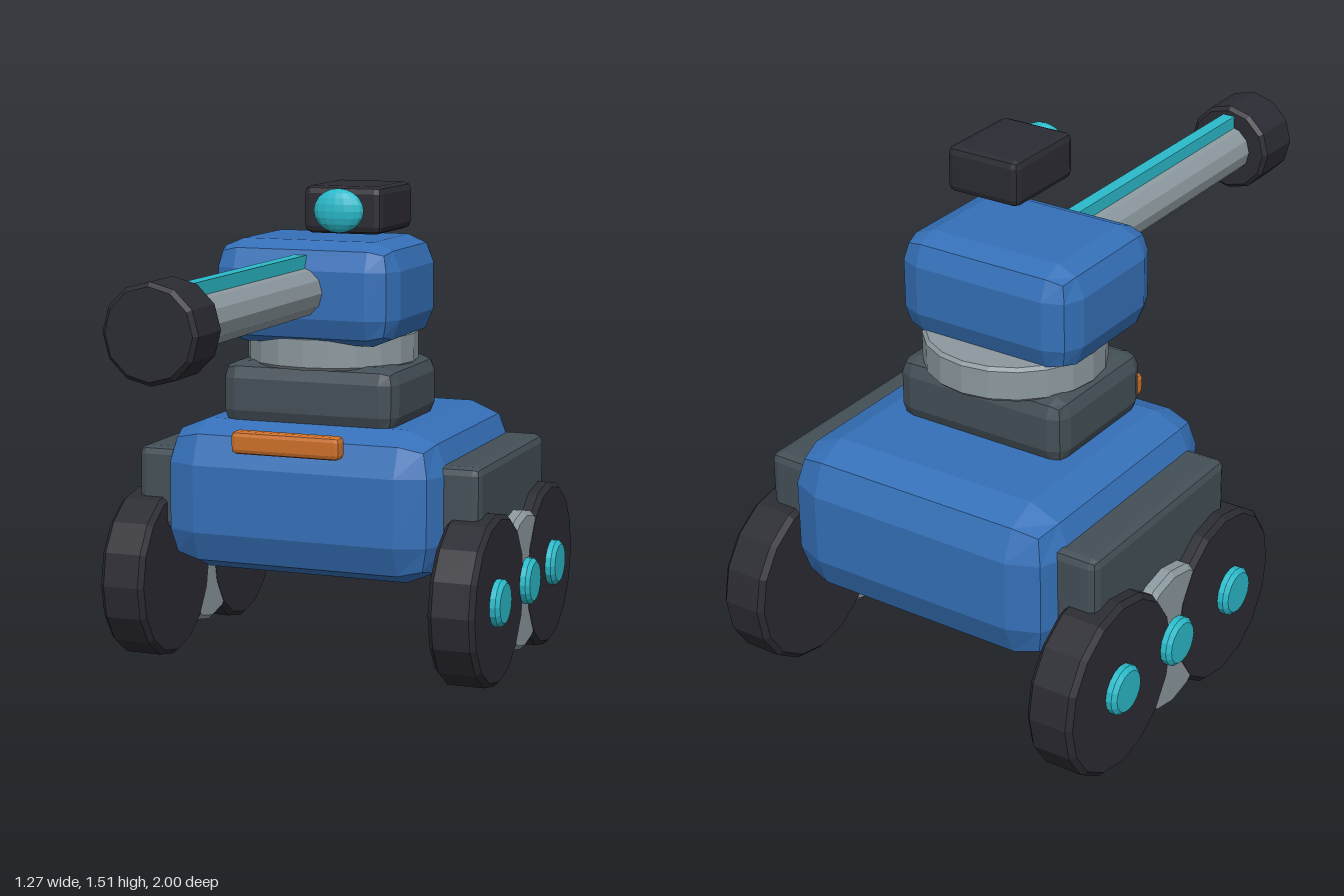
import * as THREE from 'three';
import { RoundedBoxGeometry } from 'three/addons/geometries/RoundedBoxGeometry.js';

function paint(name, color) {
  const m = new THREE.MeshStandardMaterial({ color, flatShading: true });
  m.name = name;
  return m;
}

export function createModel() {
  const blue = paint('blue', 0x3570b8);
  const slate = paint('slate', 0x434f56);
  const grey = paint('grey', 0x8c999f);
  const black = paint('black', 0x2b2b33);
  const cyan = paint('cyan', 0x2bbaca);
  const orange = paint('orange', 0xcc702a);

  const model = new THREE.Group();
  model.name = 'turretRover';

  function add(name, geometry, material, x, y, z) {
    const mesh = new THREE.Mesh(geometry, material);
    mesh.name = name;
    mesh.position.set(x, y, z);
    model.add(mesh);
    return mesh;
  }

  // Box with two-facet bevels, given by its extents on each axis
  function block(name, material, [x0, x1], [y0, y1], [z0, z1], bevel) {
    const g = new RoundedBoxGeometry(x1 - x0, y1 - y0, z1 - z0, 1, bevel);
    return add(name, g, material, (x0 + x1) / 2, (y0 + y1) / 2, (z0 + z1) / 2);
  }

  // Faceted disc with chamfered rims, centred, axis along y
  function disc(r, width, bevel, sides) {
    const h = width / 2;
    const profile = [[0, -h], [r - bevel, -h], [r, -h + bevel], [r, h - bevel], [r - bevel, h], [0, h]];
    return new THREE.LatheGeometry(profile.map(([x, y]) => new THREE.Vector2(x, y)), sides);
  }

  // Hull
  block('hull', blue, [-0.455, 0.455], [0.31, 0.78], [-0.895, -0.005], 0.13);
  block('frontLight', orange, [-0.175, 0.175], [0.705, 0.775], [0, 0.055], 0.015);

  // Running gear, mirrored
  for (const side of [1, -1]) {
    const prefix = side > 0 ? 'left' : 'right';
    const inner = side > 0 ? [0.40, 0.56] : [-0.56, -0.40];
    block(prefix + 'Fender', slate, inner, [0.42, 0.68], [-0.805, -0.115], 0.025);

    for (const [label, z] of [['Front', -0.185], ['Rear', -0.735]]) {
      const wheel = disc(0.267, 0.145, 0.015, 16).rotateZ(-Math.PI / 2);
      add(prefix + label + 'Wheel', wheel, black, side * 0.533, 0.267, z);
    }
    const middle = disc(0.222, 0.143, 0.015, 16).rotateZ(-Math.PI / 2);
    add(prefix + 'MiddleWheel', middle, grey, side * 0.533, 0.27, -0.465);

    for (const z of [-0.15, -0.465, -0.75]) {
      const hub = disc(0.073, 0.05, 0.012, 16).rotateZ(-Math.PI / 2);
      add(prefix + 'Hub', hub, cyan, side * 0.61, 0.27, z);
    }
  }

  // Turret
  block('turretBase', slate, [-0.285, 0.285], [0.76, 0.96], [-0.555, -0.12], 0.05);
  add('turretRing', disc(0.265, 0.105, 0.01, 20), grey, 0, 1.0, -0.36);
  block('turretHead', blue, [-0.295, 0.295], [1.025, 1.34], [-0.54, -0.06], 0.085);

  // Barrel along +z
  add('barrel', disc(0.077, 1.1, 0.005, 12).rotateX(Math.PI / 2), grey, 0, 1.19, 0.35);
  add('muzzle', disc(0.138, 0.17, 0.012, 12).rotateX(Math.PI / 2), black, 0, 1.19, 0.915);
  add('barrelStrip', new THREE.BoxGeometry(0.04, 0.045, 1.05), cyan, 0, 1.278, 0.325);

  // Sensor box hovering above the head
  block('sensor', black, [0.04, 0.285], [1.375, 1.515], [-0.285, 0.005], 0.022);
  const lens = new THREE.SphereGeometry(1, 16, 10).scale(0.078, 0.065, 0.037);
  add('sensorLens', lens, cyan, 0.16, 1.445, 0.023);

  return model;
}
